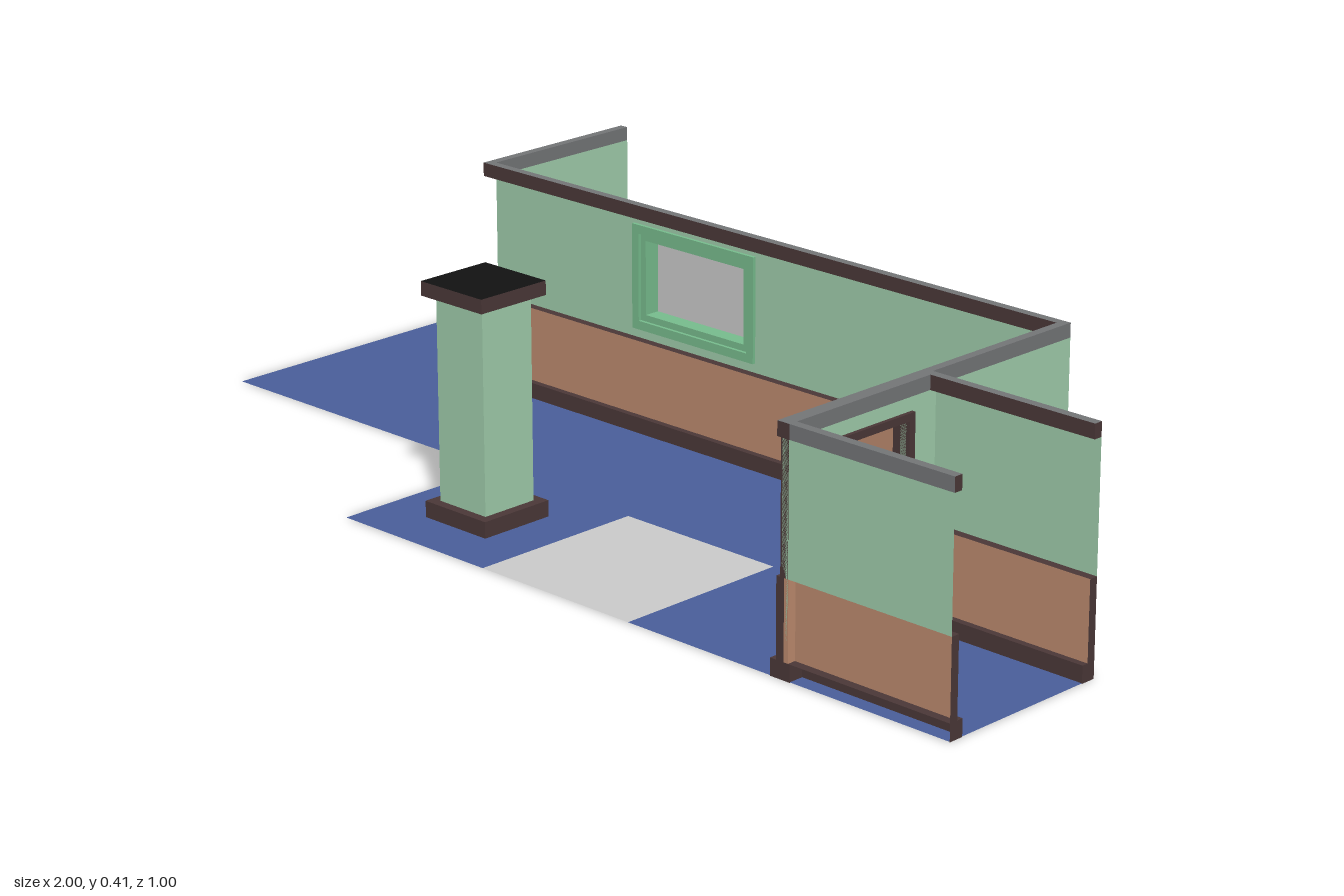
import * as THREE from 'three';

const T = 1 / 3;                                  // floor tile size
const PANEL = 0.016, BASE = 0.028;                // how far wainscot and skirting stand out
const BASE_Y = 0.03, PANEL_Y = 0.167, WALL_Y = 0.39, TOP_Y = 0.415;

const mat = (color) => new THREE.MeshStandardMaterial({ color, side: THREE.DoubleSide });
const blue = mat(0x4a5f9b), green = mat(0xa0ceac), brown = mat(0xbe8b6f), dark = mat(0x4b3838);
const trimGrey = mat(0x747678), black = mat(0x121212), grey = mat(0xcccccc), frameGreen = mat(0x78bd8e);

function add(parent, name, geometry, material, x = 0, y = 0, z = 0) {
  const m = new THREE.Mesh(geometry, material);
  m.name = name;
  m.position.set(x, y, z);
  parent.add(m);
  return m;
}

// Box given by its two opposite corners
function box(parent, name, material, x0, x1, y0, y1, z0, z1) {
  return add(parent, name, new THREE.BoxGeometry(x1 - x0, y1 - y0, z1 - z0), material,
    (x0 + x1) / 2, (y0 + y1) / 2, (z0 + z1) / 2);
}

// Upright sheet, level sheet and sideways sheet
const sheet = (p, n, m, x0, x1, y0, y1, z) =>
  add(p, n, new THREE.PlaneGeometry(x1 - x0, y1 - y0), m, (x0 + x1) / 2, (y0 + y1) / 2, z);
function level(p, n, m, x0, x1, z0, z1, y) {
  return add(p, n, new THREE.PlaneGeometry(x1 - x0, z1 - z0).rotateX(-Math.PI / 2), m, (x0 + x1) / 2, y, (z0 + z1) / 2);
}
function endSheet(p, n, m, x, y0, y1, z0, z1) {
  return add(p, n, new THREE.PlaneGeometry(z1 - z0, y1 - y0).rotateY(Math.PI / 2), m, x, (y0 + y1) / 2, (z0 + z1) / 2);
}

const rect = (Kind, x0, x1, y0, y1) => new Kind([
  new THREE.Vector2(x0, y0), new THREE.Vector2(x1, y0), new THREE.Vector2(x1, y1), new THREE.Vector2(x0, y1)]);

function holed(outer, hole) {
  const s = rect(THREE.Shape, ...outer);
  if (hole) s.holes.push(rect(THREE.Path, ...hole));
  return s;
}

// Wainscot and skirting along local x, open at the back
function wainscot(wall, u0, u1, panelExt = 0, baseExt = 0) {
  const a = u0 - panelExt, b = u0 - baseExt;
  sheet(wall, 'wainscotPanel', brown, a, u1, BASE_Y, PANEL_Y, PANEL);
  level(wall, 'wainscotCap', dark, a, u1, 0, PANEL, PANEL_Y);
  sheet(wall, 'skirtingFace', dark, b, u1, 0, BASE_Y, BASE);
  level(wall, 'skirtingTop', dark, b, u1, 0, BASE, BASE_Y);
  endSheet(wall, 'skirtingEnd', dark, b, 0, BASE_Y, 0, BASE);
  endSheet(wall, 'skirtingEnd', dark, u1, 0, BASE_Y, 0, BASE);
  // dark ribs at every tile seam
  const count = Math.max(1, Math.round((u1 - u0) / T));
  for (let i = 0; i <= count; i++) {
    const u = i === 0 ? a : u0 + (u1 - u0) * i / count;
    endSheet(wall, 'wainscotRib', dark, u, 0, PANEL_Y, 0, PANEL);
  }
}

// Top rail: dark inner face and ends, grey top and back
function topRail(wall, u0, u1, z0 = 0, z1 = PANEL) {
  box(wall, 'topRail', [dark, dark, trimGrey, dark, dark, trimGrey], u0, u1, WALL_Y, TOP_Y, z0, z1);
}

// Local x runs along the wall, local +z is its inner side
function wallGroup(root, name, x, z, angle) {
  const g = new THREE.Group();
  g.name = name;
  g.position.set(x, 0, z);
  g.rotation.y = angle;
  root.add(g);
  return g;
}

function plainWall(root, name, x, z, angle, tiles, corner = false, hole = null) {
  const g = wallGroup(root, name, x, z, angle), len = tiles * T;
  add(g, 'upperWall', new THREE.ShapeGeometry(holed([0, len, PANEL_Y, WALL_Y], hole)), green);
  wainscot(g, 0, len, corner ? PANEL : 0, corner ? BASE : 0);
  topRail(g, corner ? -PANEL : 0, len);
  return g;
}

function addWindow(wall) {
  const [x0, x1, y0, y1] = [0.367, 0.627, 0.2, 0.36], back = -0.03;
  const surround = (name, m, grow, inset, depth) => add(wall, name, new THREE.ExtrudeGeometry(
    holed([x0 - grow, x1 + grow, y0 - grow, y1 + grow], [x0 + inset, x1 - inset, y0 + inset, y1 - inset]),
    { depth, bevelEnabled: false }), m);
  surround('windowSurround', frameGreen, 0.016, 0, 0.006);
  // recess sides behind the wall
  surround('windowRecess', frameGreen, 0, 0.012, -back).position.z = back;
  sheet(wall, 'windowPane', grey, x0, x1, y0, y1, back);
}

function addDoorWall(root) {
  const g = wallGroup(root, 'doorWall', 2 * T, T / 2, -Math.PI / 2);
  const o0 = 0.068, o1 = 0.265, top = 0.353, f = 0.013;
  // upper wall on both sides, cut around the opening
  const s = new THREE.Shape();
  [[0, 0], [o0, 0], [o0, top], [o1, top], [o1, 0], [T, 0], [T, WALL_Y], [0, WALL_Y]]
    .forEach(([x, y], i) => (i ? s.lineTo(x, y) : s.moveTo(x, y)));
  add(g, 'wallCore', new THREE.ExtrudeGeometry(s, { depth: 0.012, bevelEnabled: false }), green, 0, 0, -0.007);
  for (const [a, b] of [[0, o0 - f], [o1 + f, T]]) {
    wainscot(g, a, b);
    box(g, 'roomWainscot', brown, a, b, BASE_Y, PANEL_Y, -0.009, 0);
    box(g, 'roomSkirting', dark, a, b, 0, BASE_Y, -0.013, 0);
  }
  // door frame
  box(g, 'doorJamb', dark, o0 - f, o0, 0, top + f, -0.014, 0.02);
  box(g, 'doorJamb', dark, o1, o1 + f, 0, top + f, -0.014, 0.02);
  box(g, 'doorHead', dark, o0 - f, o1 + f, top, top + f, -0.014, 0.02);
  topRail(g, 0, T, -0.009, PANEL);
  box(g, 'wallEnd', dark, T - 0.003, T, 0, TOP_Y, -0.008, 0.008);
}

function addColumn(root) {
  const g = new THREE.Group();
  g.name = 'column';
  g.position.set(-T / 2, 0, T);
  root.add(g);
  const h = 0.0725, w = 0.055;
  // open underneath, hollow inside
  const ring = new THREE.ExtrudeGeometry(holed([-h, h, -h, h], [-w, w, -w, w]), { depth: BASE_Y, bevelEnabled: false });
  add(g, 'columnBase', ring.rotateX(-Math.PI / 2), dark);
  for (let i = 0; i < 4; i++) {
    const side = sheet(g, 'columnSide', green, -w, w, 0, WALL_Y, 0);
    side.rotation.y = i * Math.PI / 2;
    side.position.set(w * Math.sin(side.rotation.y), WALL_Y / 2, w * Math.cos(side.rotation.y));
  }
  box(g, 'columnCap', [dark, dark, black, dark, dark, dark], -h, h, WALL_Y, TOP_Y, -h, h);
}

function addFloor(root) {
  const y = 0.001, g = new THREE.Group();
  g.name = 'floor';
  root.add(g);
  level(g, 'leftFloor', blue, -1, -2 * T, -0.5, T / 2, y);
  level(g, 'mainFloor', blue, -2 * T, 2 * T, -T / 2, T / 2, y);
  level(g, 'rightFloor', blue, T, 1, T / 2, 0.5, y);
  level(g, 'greyFloorTile', grey, 0, T, T / 2, 0.5, y);
  // tile cut out beneath the column
  const tile = holed([-T, 0, -0.5, -T / 2], [-T / 2 - 0.07, -T / 2 + 0.07, -T - 0.07, -T + 0.07]);
  add(g, 'columnFloorTile', new THREE.ShapeGeometry(tile).rotateX(-Math.PI / 2), blue, 0, y, 0);
}

export function createModel() {
  const root = new THREE.Group();
  root.name = 'hallway';
  addFloor(root);
  plainWall(root, 'leftWall', -2 * T, -0.5, -Math.PI / 2, 1);
  addWindow(plainWall(root, 'backWall', -2 * T, -T / 2, 0, 4, true, [0.367, 0.627, 0.2, 0.36]));
  plainWall(root, 'rightWall', 2 * T, -T / 2, -Math.PI / 2, 1);
  addDoorWall(root);
  plainWall(root, 'sideRoomBackWall', 2 * T, T / 2, 0, 1);
  plainWall(root, 'sideRoomFrontWall', 1, 0.5, Math.PI, 1);
  addColumn(root);
  return root;
}
